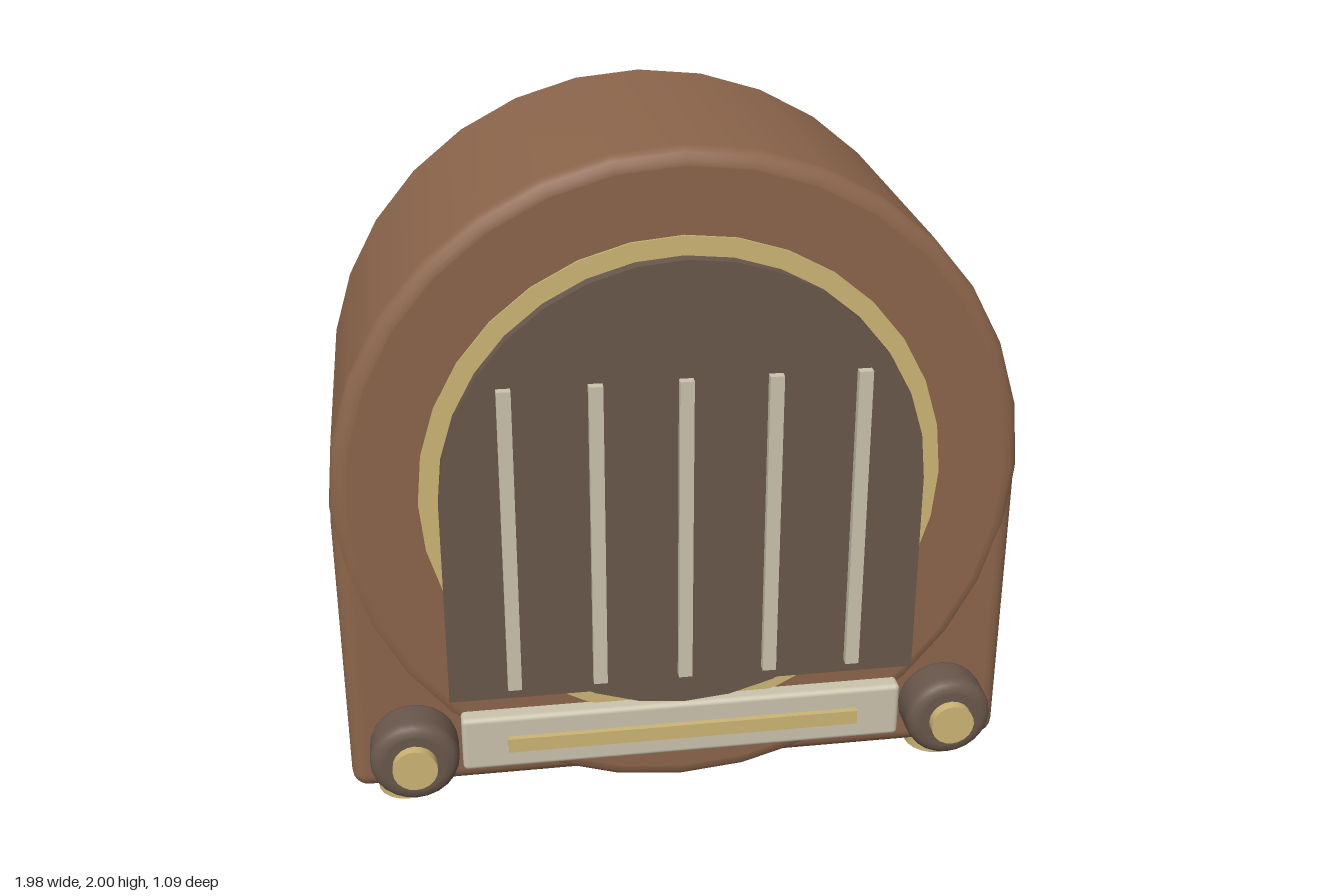
import * as THREE from 'three';
import { RoundedBoxGeometry } from 'three/addons/geometries/RoundedBoxGeometry.js';

const material = (name, color) => {
  const m = new THREE.MeshStandardMaterial({ color });
  m.name = name;
  return m;
};

// Disc facing z, with rounded rims; z0 is the back, z1 the front
function roundedDisc(radius, z0, z1, bevel, segments) {
  const inner = radius - bevel;
  const pts = [[0, z0], [inner - 0.003, z0]];
  const steps = 4;
  for (let i = 0; i <= steps; i++) {
    const a = (i / steps) * Math.PI / 2;
    pts.push([inner + bevel * Math.sin(a), z0 + bevel * (1 - Math.cos(a))]);
  }
  for (let i = 0; i <= steps; i++) {
    const a = (i / steps) * Math.PI / 2;
    pts.push([inner + bevel * Math.cos(a), z1 - bevel * (1 - Math.sin(a))]);
  }
  pts.push([inner - 0.003, z1], [0, z1]);
  return new THREE.LatheGeometry(pts.map(([x, y]) => new THREE.Vector2(x, y)), segments).rotateX(Math.PI / 2);
}

// Plain disc facing z
function disc(radius, z0, z1, segments) {
  return new THREE.CylinderGeometry(radius, radius, z1 - z0, segments)
    .rotateX(Math.PI / 2).translate(0, 0, (z0 + z1) / 2);
}

// Box given by its limits, rounded when radius is set
function box(x0, x1, y0, y1, z0, z1, radius = 0) {
  const size = [x1 - x0, y1 - y0, z1 - z0];
  const g = radius ? new RoundedBoxGeometry(...size, 3, radius) : new THREE.BoxGeometry(...size);
  return g.translate((x0 + x1) / 2, (y0 + y1) / 2, (z0 + z1) / 2);
}

export function createModel() {
  const wood = material('wood', 0x8c654b);
  const dark = material('dark brown', 0x69574b);
  const gold = material('gold', 0xcbb474);
  const ivory = material('ivory', 0xcac2ac);

  const radio = new THREE.Group();
  radio.name = 'radio';
  const add = (name, geometry, mat, x = 0, y = 0, z = 0) => {
    const mesh = new THREE.Mesh(geometry, mat);
    mesh.name = name;
    mesh.position.set(x, y, z);
    radio.add(mesh);
  };

  // Cabinet: square base with a round drum through it
  add('cabinetBase', box(-0.99, 0.99, 0.07, 1.01, -0.537, 0.387, 0.05), wood);
  add('cabinetDrum', roundedDisc(0.99, -0.545, 0.395, 0.045, 32), wood, 0, 1.01);

  // Speaker trim and grille
  add('speakerTrim', disc(0.745, 0.35, 0.402, 32), gold, 0, 1.02);
  add('grilleArch', disc(0.69, 0.36, 0.44, 32), dark, 0, 1.02);
  add('grillePanel', box(-0.69, 0.69, 0.39, 1.02, 0.36, 0.44), dark);
  for (let i = -2; i <= 2; i++) {
    const x = i * 0.25;
    add('grilleBar', box(x - 0.02, x + 0.02, 0.43, 1.37, 0.43, 0.465), ivory);
  }

  // Tuning dial
  add('dialPlate', box(-0.66, 0.66, 0.15, 0.325, 0.36, 0.445, 0.015), ivory);
  add('dialStrip', box(-0.525, 0.525, 0.215, 0.26, 0.43, 0.463), gold);

  // Knobs and feet, mirrored left and right
  for (const side of [-1, 1]) {
    add('knob', roundedDisc(0.13, 0.37, 0.515, 0.035, 24), dark, side * 0.8, 0.235);
    add('knobCap', disc(0.065, 0.5, 0.545, 20), gold, side * 0.8, 0.235);
    for (const z of [0.26, -0.405]) {
      add('foot', new THREE.CylinderGeometry(0.088, 0.088, 0.1, 20), gold, side * 0.83, 0.05, z);
    }
  }
  return radio;
}
